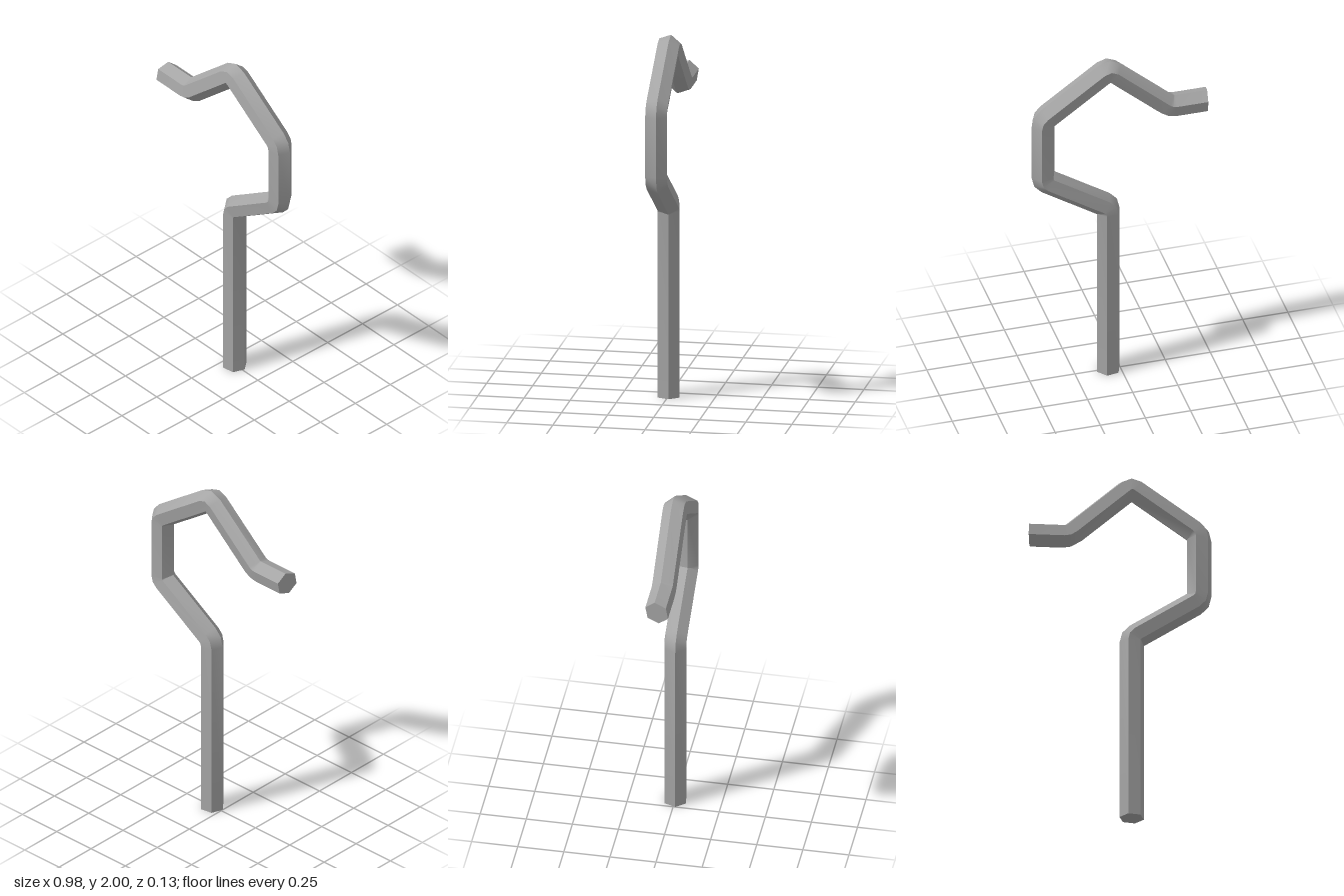
import * as THREE from 'three';
import { toCreasedNormals } from 'three/addons/utils/BufferGeometryUtils.js';

const SIDES = 6;
const RADIUS = 0.067;
const TWIST = THREE.MathUtils.degToRad(50); // rotation of the hexagonal section
const BEND = 0.03; // length of each corner taken up by the bend

// Centre line of the bar, from the foot to the free end
const PATH = [
  [0.066, 0], [0.066, 1.057], [0.427, 1.292], [0.427, 1.68],
  [0.063, 1.942], [-0.27, 1.645], [-0.481, 1.645],
].map(([x, y]) => new THREE.Vector2(x, y));

// Stations along the bar: a centre point and a direction, three per corner
function stations() {
  const last = PATH.length - 1;
  const dir = (i) => PATH[i + 1].clone().sub(PATH[i]).normalize();
  const list = [{ p: PATH[0], t: dir(0) }];
  for (let i = 1; i < last; i++) {
    const t0 = dir(i - 1), t1 = dir(i);
    const a = PATH[i].clone().addScaledVector(t0, -BEND);
    const b = PATH[i].clone().addScaledVector(t1, BEND);
    const mid = a.clone().add(b).multiplyScalar(0.25).addScaledVector(PATH[i], 0.5);
    list.push({ p: a, t: t0 }, { p: mid, t: t0.clone().add(t1).normalize() }, { p: b, t: t1 });
  }
  list.push({ p: PATH[last], t: dir(last - 1) });
  return list;
}

function barGeometry() {
  const list = stations();
  const positions = [], index = [];
  list.forEach(({ p, t }, i) => {
    for (let k = 0; k < SIDES; k++) {
      const a = TWIST + (k / SIDES) * Math.PI * 2;
      const n = RADIUS * Math.cos(a), z = RADIUS * Math.sin(a);
      // the free end is cut at a slight slant
      const slant = i === list.length - 1 ? -0.15 * z : 0;
      positions.push(p.x + t.y * n + slant, p.y - t.x * n, z);
    }
  });
  for (let i = 0; i < list.length - 1; i++) {
    for (let k = 0; k < SIDES; k++) {
      const a = i * SIDES + k, b = i * SIDES + (k + 1) % SIDES;
      index.push(a, a + SIDES, b + SIDES, a, b + SIDES, b);
    }
  }
  // Flat caps on both ends
  const end = (list.length - 1) * SIDES;
  for (let k = 1; k < SIDES - 1; k++) {
    index.push(0, k, k + 1, end, end + k + 1, end + k);
  }
  const geometry = new THREE.BufferGeometry();
  geometry.setAttribute('position', new THREE.Float32BufferAttribute(positions, 3));
  geometry.setIndex(index);
  return toCreasedNormals(geometry, 0.7);
}

export function createModel() {
  const model = new THREE.Group();
  model.name = 'bentHook';
  const steel = new THREE.MeshStandardMaterial({ color: 0xa6a6a6 });
  steel.name = 'grey steel';
  const bar = new THREE.Mesh(barGeometry(), steel);
  bar.name = 'hexagonalBar';
  model.add(bar);
  return model;
}
